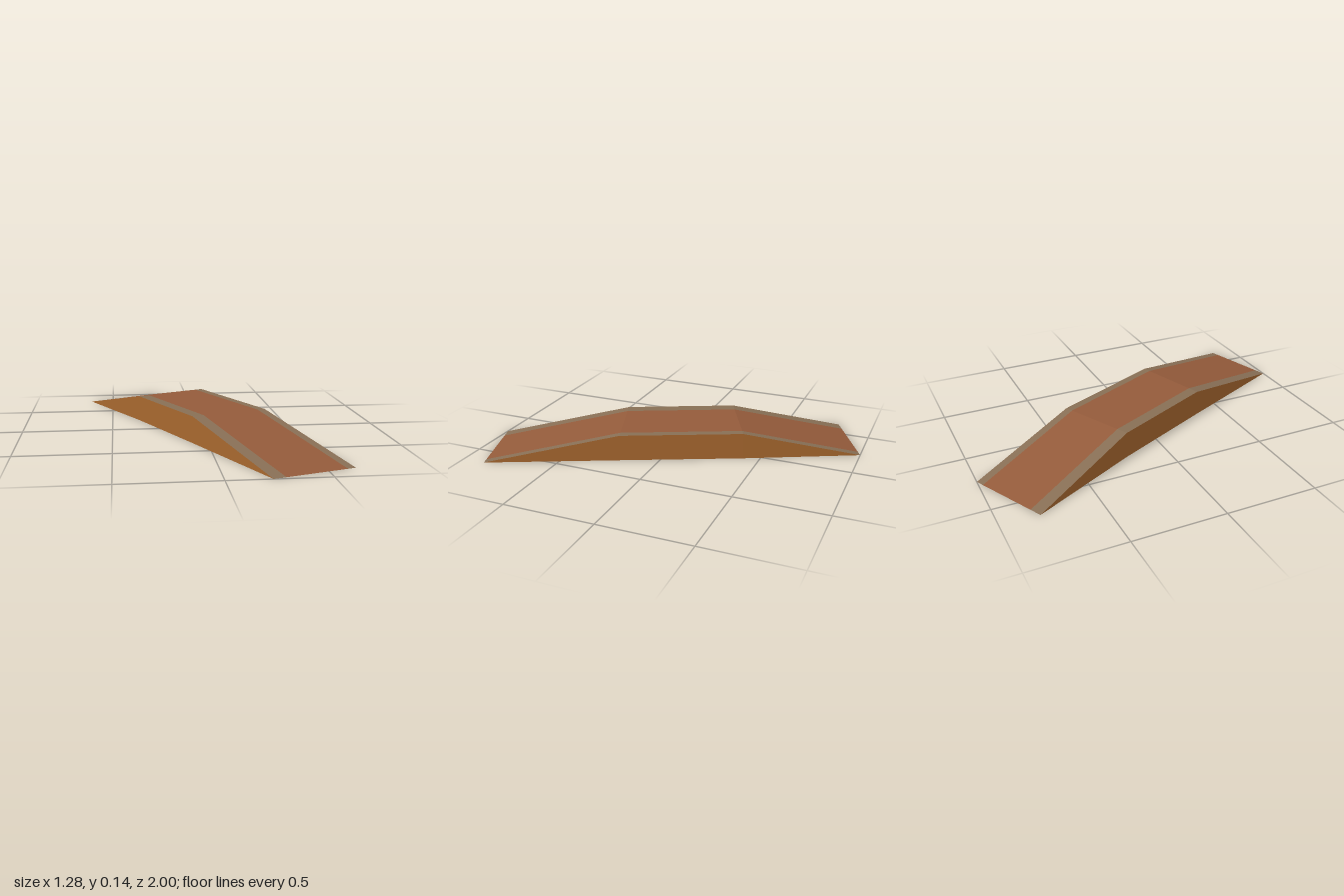
import * as THREE from 'three';

const flat = (name, color) => {
  const m = new THREE.MeshStandardMaterial({ color, side: THREE.DoubleSide });
  m.name = name;
  return m;
};

// Cross-sections from back to front: right rim (x, z), left rim (x, z), height
const stations = [
  { r: [-0.64, -0.80], l: [-0.24, -1.00], y: 0 },
  { r: [-0.34, -0.22], l: [0.05, -0.41], y: 0.145 },
  { r: [-0.08, 0.34], l: [0.33, 0.20], y: 0.145 },
  { r: [0.22, 1.00], l: [0.64, 0.87], y: 0 },
];

// Point across a station: t runs from right rim (0) to left rim (1)
const at = (s, t, y) => [
  s.r[0] + (s.l[0] - s.r[0]) * t, y, s.r[1] + (s.l[1] - s.r[1]) * t,
];
const line = (t, onGround) => stations.map((s) => at(s, t, onGround ? 0 : s.y));

// Flat-faced strip between two lines of points
function ribbon(name, p, q, material) {
  const pos = [];
  for (let i = 0; i < p.length - 1; i++) {
    const tris = [[p[i], p[i + 1], q[i]], [q[i], p[i + 1], q[i + 1]]];
    for (const [a, b, c] of tris) {
      const collapsed = [[a, b], [b, c], [a, c]].some(([u, v]) => u.every((n, k) => n === v[k]));
      if (!collapsed) pos.push(...a, ...b, ...c);
    }
  }
  const g = new THREE.BufferGeometry();
  g.setAttribute('position', new THREE.Float32BufferAttribute(pos, 3));
  g.computeVertexNormals();
  const mesh = new THREE.Mesh(g, material);
  mesh.name = name;
  return mesh;
}

export function createModel() {
  const deckMat = flat('red brown deck', 0x945b3b);
  const curbMat = flat('grey brown edging', 0x886f55);
  const wallMat = flat('orange brown wood', 0xa8682f);

  const group = new THREE.Group();
  group.name = 'footbridge';
  const right = 0.15, left = 0.9;
  group.add(
    // Walking surface with edging along both rims
    ribbon('rightEdging', line(0), line(right), curbMat),
    ribbon('deck', line(right), line(left), deckMat),
    ribbon('leftEdging', line(left), line(1), curbMat),
    // Side walls down to the ground, open below
    ribbon('rightWall', line(0, true), line(0), wallMat),
    ribbon('leftWall', line(1), line(1, true), wallMat),
  );
  return group;
}
